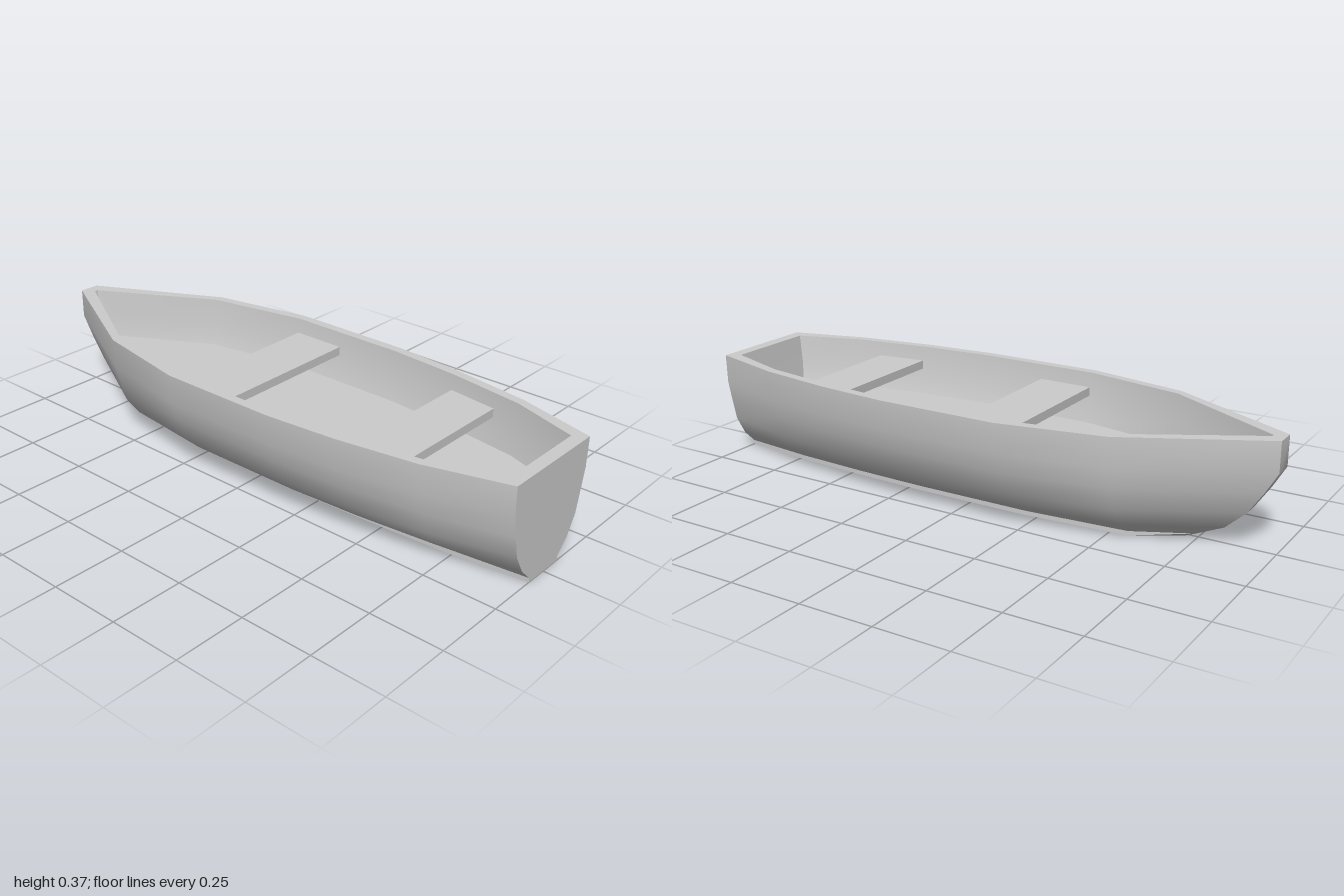
import * as THREE from 'three';
import { toCreasedNormals } from 'three/addons/utils/BufferGeometryUtils.js';

// Stations from bow (-x) to stern (+x) and the gunwale half-widths there
const X = [-1, -0.56, -0.21, 0.21, 0.46, 0.73, 1];
const W = [0.035, 0.265, 0.333, 0.333, 0.312, 0.27, 0.193];

// Outer levels: height, share of the gunwale width, bow position
const OUTER = [
  [0, 0.4, -0.71], [0.015, 0.4, -0.745], [0.06, 0.635, -0.84], [0.125, 0.825, -0.91],
  [0.2, 0.91, -0.96], [0.27, 0.985, -1], [0.37, 1, -1],
];
// Inner levels: height, share of the outer width, bow position, stern position
const INNER = [[0.37, 1, -0.96, 0.957], [0.27, 0.978, -0.945, 0.945], [0.2, 0.915, -0.93, 0.935]];
const WALL = 0.035;

// A closed ring: bow to stern on the left side of the list, then back mirrored
function ring(y, xs, ws) {
  const side = xs.map((x, i) => [x, y, ws[i]]);
  return [...side, ...side.map(([x, h, w]) => [x, h, -w]).reverse()];
}

function hullGeometry() {
  const rings = OUTER.map(([y, k, bow]) => ring(y, [bow, ...X.slice(1)], W.map((w) => w * k)));
  for (const [y, k, bow, stern] of INNER) {
    const xs = [bow, ...X.slice(1, -1), stern];
    rings.push(ring(y, xs, W.map((w) => Math.max(w * k - WALL + 0.003, 0.006))));
  }
  const n = X.length * 2;
  const pos = [];
  const quad = (a, b, c, d) => pos.push(...a, ...b, ...c, ...a, ...c, ...d);
  // Outer skin, rim and inner skin
  for (let j = 0; j < rings.length - 1; j++) {
    for (let i = 0; i < n; i++) {
      const k = (i + 1) % n;
      quad(rings[j][i], rings[j][k], rings[j + 1][k], rings[j + 1][i]);
    }
  }
  // Bottom and floor
  const bottom = rings[0], floor = rings[rings.length - 1];
  for (let i = 0; i < X.length - 1; i++) {
    const m = n - 1 - i;
    quad(bottom[i], bottom[m], bottom[m - 1], bottom[i + 1]);
    quad(floor[i], floor[i + 1], floor[m - 1], floor[m]);
  }
  const geo = new THREE.BufferGeometry();
  geo.setAttribute('position', new THREE.Float32BufferAttribute(pos, 3));
  return toCreasedNormals(geo, THREE.MathUtils.degToRad(35));
}

// Plank across the hull, tapered to follow the sides
function seatGeometry(x0, x1, w0, w1) {
  const shape = new THREE.Shape([[x0, -w0], [x1, -w1], [x1, w1], [x0, w0]].map((p) => new THREE.Vector2(...p)));
  const geo = new THREE.ExtrudeGeometry(shape, { depth: 0.03, bevelEnabled: false });
  return geo.rotateX(-Math.PI / 2).translate(0, 0.29, 0);
}

export function createModel() {
  const boat = new THREE.Group();
  boat.name = 'rowingBoat';
  const material = new THREE.MeshStandardMaterial({ color: 0xcccccc });
  const add = (name, geo) => {
    const mesh = new THREE.Mesh(geo, material);
    mesh.name = name;
    boat.add(mesh);
  };
  add('hull', hullGeometry());
  add('middleSeat', seatGeometry(-0.21, -0.02, 0.292, 0.292));
  add('sternSeat', seatGeometry(0.465, 0.64, 0.268, 0.245));
  return boat;
}
